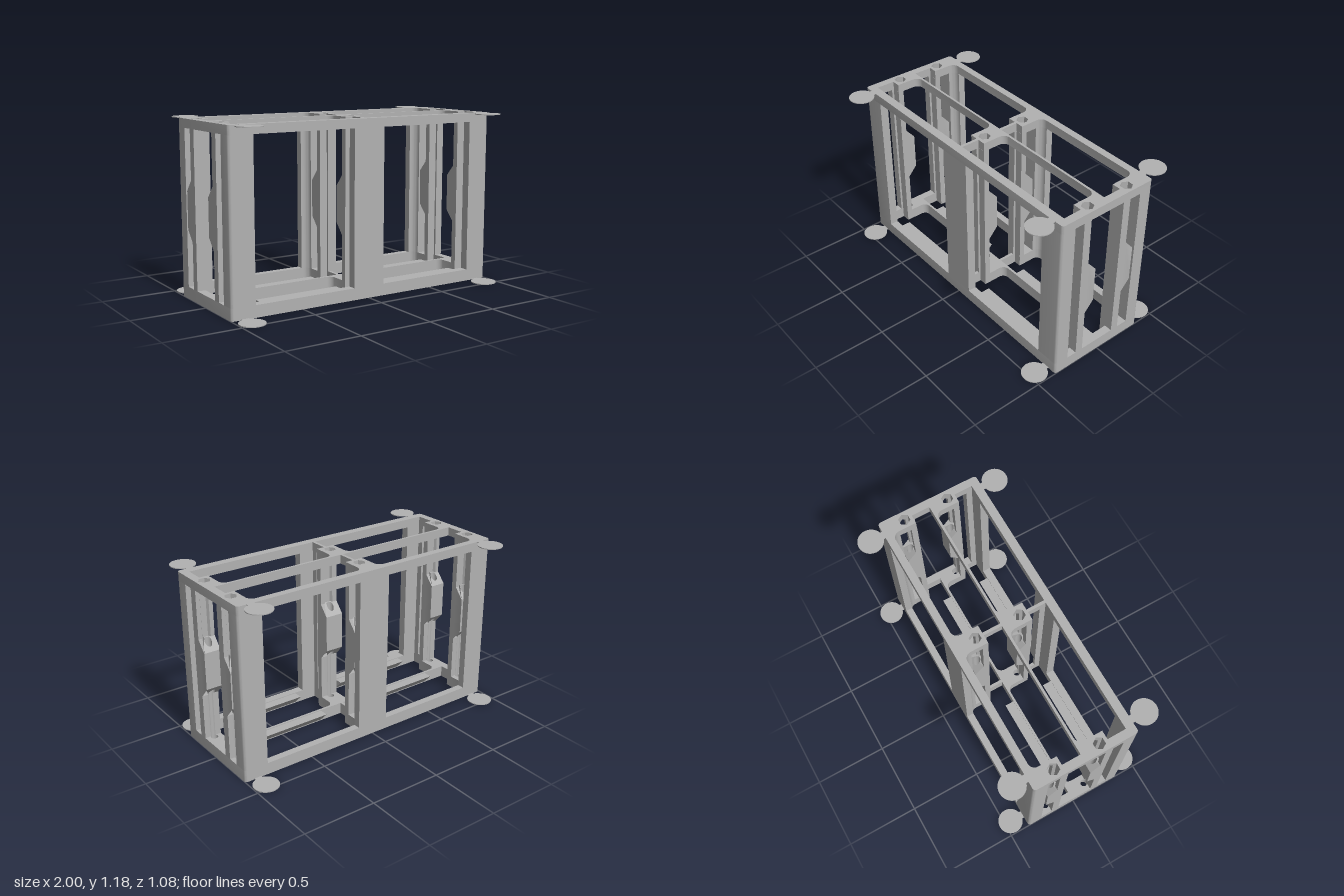
import * as THREE from 'three';
import { toCreasedNormals } from 'three/addons/utils/BufferGeometryUtils.js';

const H = 1.178;              // overall height
const LOW = 0.08, HIGH = 1.118; // top of base frame, underside of top frame
const BAY = -0.314;           // z step from the front bay to the rear bay
const HOLE_Z = 0.118;         // screw axis in the front bay

// Points on an arc in the (x, z) plane
function arc(cx, cz, r, a0, a1, n = 8) {
  return Array.from({ length: n + 1 }, (_, i) => {
    const a = a0 + (a1 - a0) * i / n;
    return [cx + r * Math.cos(a), cz + r * Math.sin(a)];
  });
}
const flip = (pts) => pts.map(([x, z]) => [-x, z]);
const shift = (pts, dx, dz) => pts.map(([x, z]) => [x + dx, z + dz]);
const toVectors = (pts) => pts.map(([x, z]) => new THREE.Vector2(x, z));

// Plan outline in (x, z) extruded from y0 up to y1
function prism(pts, y0, y1, holes = []) {
  const shape = new THREE.Shape(toVectors(pts));
  shape.holes = holes.map((h) => new THREE.Path(toVectors(h)));
  const geo = new THREE.ExtrudeGeometry(shape, { depth: y1 - y0, bevelEnabled: false });
  return geo.rotateX(Math.PI / 2).translate(0, y1, 0);
}

export function createModel() {
  const model = new THREE.Group();
  model.name = 'twinBayRack';
  const grey = new THREE.MeshStandardMaterial({ color: 0xb2b2b2 });
  grey.name = 'grey plastic';
  const add = (name, geo) => {
    geo.computeVertexNormals();
    const mesh = new THREE.Mesh(toCreasedNormals(geo, 0.5), grey);
    mesh.name = name;
    model.add(mesh);
  };
  const P = Math.PI;

  // Shared outlines
  const outline = [
    ...arc(0.98, 0.34, 0.02, 0, P / 2, 5), ...arc(-0.98, 0.34, 0.02, P / 2, P, 5),
    ...arc(-0.98, -0.34, 0.02, P, 1.5 * P, 5), ...arc(0.98, -0.34, 0.02, 1.5 * P, 2 * P, 5),
  ];
  const bay = [
    ...arc(0.11, -0.265, 0.045, P, 1.5 * P), ...arc(0.84, -0.265, 0.045, 1.5 * P, 2 * P),
    [0.885, -0.14], [0.945, -0.14], [0.945, -0.012], [0.01, -0.012], [0.01, -0.14], [0.065, -0.14],
  ];
  const bays = [bay, flip(bay)].flatMap((b) => [b, shift(b, 0, -BAY)]);
  const roundHole = arc(0, 0, 0.024, 0, 2 * P, 24).slice(0, -1);
  const hexHole = arc(0, 0, 0.04, 0, 2 * P, 6).slice(0, -1);
  const screwHoles = (h) => [-0.9425, 0, 0.9425].flatMap((x) =>
    [0, BAY].map((dz) => shift(h, x, HOLE_Z + dz)));

  // Base and top frames
  add('baseFrame', prism(outline, 0, LOW, [...bays, ...screwHoles(roundHole)]));
  add('topFrame', prism(outline, HIGH, H, [...bays, ...screwHoles(hexHole)]));

  // Corner posts
  const frontCorner = [[0.835, 0.302], [0.945, 0.302], [0.945, 0.26], [1, 0.26],
    ...arc(0.98, 0.34, 0.02, 0, P / 2, 5), [0.835, 0.36]];
  const backCorner = [[0.835, -0.36], ...arc(0.98, -0.34, 0.02, -P / 2, 0, 5), [1, -0.26],
    [0.885, -0.26], ...arc(0.84, -0.265, 0.045, 0, -P / 2), [0.835, -0.31]];
  for (const side of ['left', 'right']) {
    const m = side === 'left' ? (p) => p : flip;
    add(side + 'FrontPost', prism(m(frontCorner), LOW, HIGH));
    add(side + 'BackPost', prism(m(backCorner), LOW, HIGH));
  }

  // Centre posts on the front and back faces
  add('centreFrontPost', prism([[-0.115, 0.36], [-0.115, 0.302], [-0.01, 0.302], [-0.01, 0.26],
    [0.01, 0.26], [0.01, 0.302], [0.115, 0.302], [0.115, 0.36]], LOW, HIGH));
  const fillet = [[0.115, -0.36], [0.115, -0.31], ...arc(0.11, -0.265, 0.045, -P / 2, -P), [0.065, -0.26]];
  add('centreBackPost', prism([...fillet, ...flip(fillet).reverse()], LOW, HIGH));

  // Grooves that the screw channels leave in the column faces
  const halfAngle = Math.asin(0.017 / 0.024);
  const roundGroove = arc(0, HOLE_Z, 0.024, halfAngle, P - halfAngle, 10);
  const hexGroove = [[0.03, 0.135], [0.02, 0.1526], [-0.02, 0.1526], [-0.03, 0.135]];

  // Screw columns: x range of the body, x range of the thin rear web, screw axis
  const columns = [
    { name: 'left', body: [0.885, 1], web: [0.945, 1], axis: 0.9425 },
    { name: 'centre', body: [-0.065, 0.065], web: [-0.01, 0.01], axis: 0 },
    { name: 'right', body: [-1, -0.885], web: [-1, -0.945], axis: -0.9425 },
  ];
  for (const { name, body: [a, b], web: [c, d], axis } of columns) {
    for (const [bayName, dz] of [['Front', 0], ['Back', BAY]]) {
      const rear = [[a, 0.175], [c, 0.175], [c, 0.19], [d, 0.19], [d, 0.175], [b, 0.175]]
        .filter(([x, z], i, all) => !i || x !== all[i - 1][0] || z !== all[i - 1][1]);
      const column = (groove, y0, y1) => prism(
        [...rear, [b, 0.135], ...shift(groove, axis, 0), [a, 0.135]], y0, y1).translate(0, 0, dz);
      add(name + bayName + 'LowerColumn', column(roundGroove, LOW, 0.39));
      add(name + bayName + 'UpperColumn', column(hexGroove, 0.79, HIGH));

      // Screw boss with sloped top and underside
      const boss = prism([...rear, [b, 0.135], [b, 0.071], [a, 0.071], [a, 0.135]],
        0.39, 0.79, [shift(roundHole, axis, HOLE_Z)]);
      const pos = boss.attributes.position;
      for (let i = 0; i < pos.count; i++) {
        const slope = Math.max(0, 0.135 - pos.getZ(i)) * 1.15;
        pos.setY(i, pos.getY(i) < 0.5 ? 0.39 + slope : 0.79 - slope);
      }
      add(name + bayName + 'Boss', boss.translate(0, 0, dz));
    }
  }

  // Wedge ledges along the base of each bay
  const wedge = new THREE.Shape(toVectors([[-0.303, 0.005], [-0.303, 0.075], [-0.235, 0.075]]));
  for (const x0 of [0.178, -0.773]) {
    for (const dz of [0, BAY]) {
      const geo = new THREE.ExtrudeGeometry(wedge, { depth: 0.595, bevelEnabled: false });
      add('ledge', geo.rotateY(P / 2).translate(x0, 0, dz));
    }
  }

  // Thin round corner pads with short necks, at the base and the top
  for (const y of [0.003, H - 0.003]) {
    for (const sx of [-1, 1]) {
      for (const sz of [-1, 1]) {
        add('cornerPad', new THREE.CylinderGeometry(0.085, 0.085, 0.006, 40)
          .translate(0.91 * sx, y, 0.455 * sz).toNonIndexed());
        add('padNeck', new THREE.BoxGeometry(0.05, 0.006, 0.04)
          .translate(0.91 * sx, y, 0.365 * sz).toNonIndexed());
      }
    }
  }
  return model;
}
